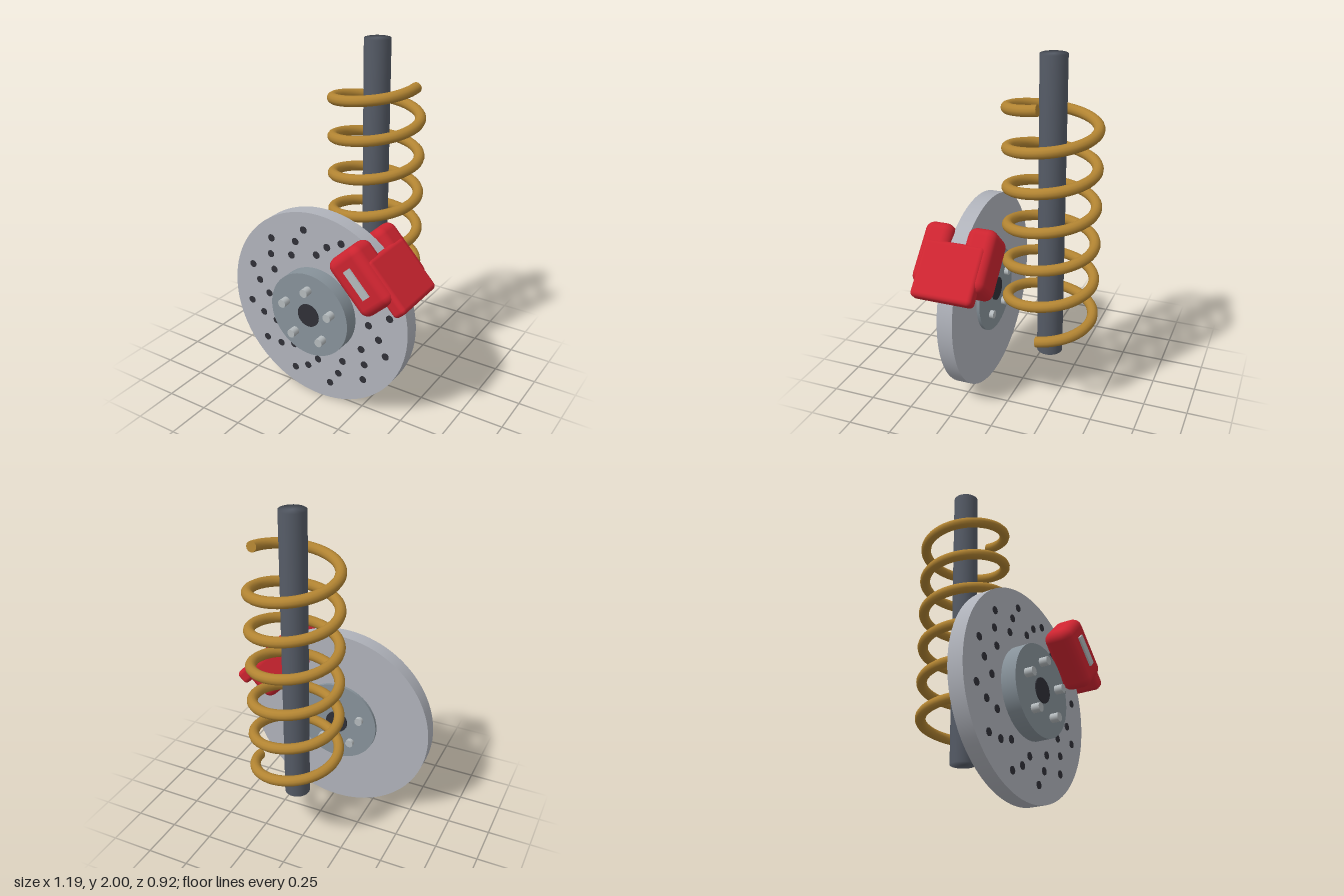
import * as THREE from 'three';
import { RoundedBoxGeometry } from 'three/addons/geometries/RoundedBoxGeometry.js';

const mat = (name, color) => {
  const m = new THREE.MeshStandardMaterial({ color });
  m.name = name;
  return m;
};

export function createModel() {
  const discGrey = mat('disc grey', 0xb0b3bb);
  const hubGrey = mat('hub grey', 0x87929a);
  const boltGrey = mat('bolt grey', 0xb4babd);
  const dark = mat('dark hole', 0x2f3037);
  const red = mat('caliper red', 0xcd2430);
  const bronze = mat('spring bronze', 0xb28432);
  const steel = mat('strut steel', 0x555b66);

  const model = new THREE.Group();
  model.name = 'brakeAndSuspension';
  const add = (parent, name, geo, material, x = 0, y = 0, z = 0) => {
    const mesh = new THREE.Mesh(geo, material);
    mesh.name = name;
    mesh.position.set(x, y, z);
    parent.add(mesh);
    return mesh;
  };

  // Wheel axis group: everything here is centred on the disc axis
  const wheel = new THREE.Group();
  wheel.name = 'brakeDisc';
  wheel.position.set(-0.025, 0.572, 0);
  model.add(wheel);

  // Cylinder along z between two depths
  const axial = (name, r, z0, z1, material, x, y, sides) => {
    const geo = new THREE.CylinderGeometry(r, r, z1 - z0, sides).rotateX(Math.PI / 2);
    return add(wheel, name, geo, material, x, y, (z0 + z1) / 2);
  };
  axial('disc', 0.571, 0.195, 0.285, discGrey, 0, 0, 96);
  axial('hub', 0.25, 0.177, 0.37, hubGrey, 0, 0, 64);
  axial('centreBore', 0.068, 0.167, 0.376, dark, 0, 0, 32);

  // Five wheel bolts
  for (let i = 0; i < 5; i++) {
    const a = Math.PI / 2 + (i * Math.PI * 2) / 5;
    axial('bolt', 0.024, 0.152, 0.416, boltGrey, 0.155 * Math.cos(a), 0.155 * Math.sin(a), 16);
  }

  // Three staggered rings of twelve vent holes
  [[0.333, 0], [0.403, 20], [0.469, 10]].forEach(([r, offset]) => {
    for (let i = 0; i < 12; i++) {
      const a = THREE.MathUtils.degToRad(offset + i * 30);
      axial('ventHole', 0.021, 0.2, 0.289, dark, r * Math.cos(a), r * Math.sin(a), 16);
    }
  });

  // Caliper: local x points radially outwards, local y along the rim
  const caliper = new THREE.Group();
  caliper.name = 'caliper';
  caliper.rotation.z = THREE.MathUtils.degToRad(43);
  wheel.add(caliper);
  const padShape = new RoundedBoxGeometry(0.235, 0.355, 0.167, 3, 0.05);
  add(caliper, 'frontCaliperHalf', padShape, red, 0.487, -0.003, 0.363);
  add(caliper, 'backCaliperHalf', padShape, red, 0.487, -0.003, 0.112);
  add(caliper, 'caliperBridge', new RoundedBoxGeometry(0.085, 0.325, 0.352, 3, 0.025), red, 0.569, -0.098, 0.24);
  add(caliper, 'caliperPlate', new THREE.BoxGeometry(0.046, 0.175, 0.012), boltGrey, 0.488, 0, 0.451);

  // Strut rod with softly shaded ends
  const rod = [[0, 0], [0.073, 0], [0.073, 1.71], [0, 1.71]].map(([x, y]) => new THREE.Vector2(x, y));
  add(model, 'strutRod', new THREE.LatheGeometry(rod, 32), steel, 0.06, 0.29, -0.19);

  // Coil spring of six turns
  class Helix extends THREE.Curve {
    getPoint(t, target = new THREE.Vector3()) {
      const a = t * Math.PI * 12;
      return target.set(0.24 * Math.cos(a), 1.297 * t, -0.24 * Math.sin(a));
    }
  }
  const helix = new Helix();
  const spring = new THREE.Group();
  spring.name = 'coilSpring';
  spring.position.set(0.06, 0.47, -0.19);
  model.add(spring);
  add(spring, 'coil', new THREE.TubeGeometry(helix, 288, 0.03, 12), bronze);
  // Flat caps on the two wire ends
  [[0, -1], [1, 1]].forEach(([t, dir]) => {
    const p = helix.getPoint(t);
    const cap = add(spring, 'coilEnd', new THREE.CircleGeometry(0.03, 12), bronze, p.x, p.y, p.z);
    cap.quaternion.setFromUnitVectors(new THREE.Vector3(0, 0, 1), helix.getTangent(t).multiplyScalar(dir));
  });

  return model;
}
